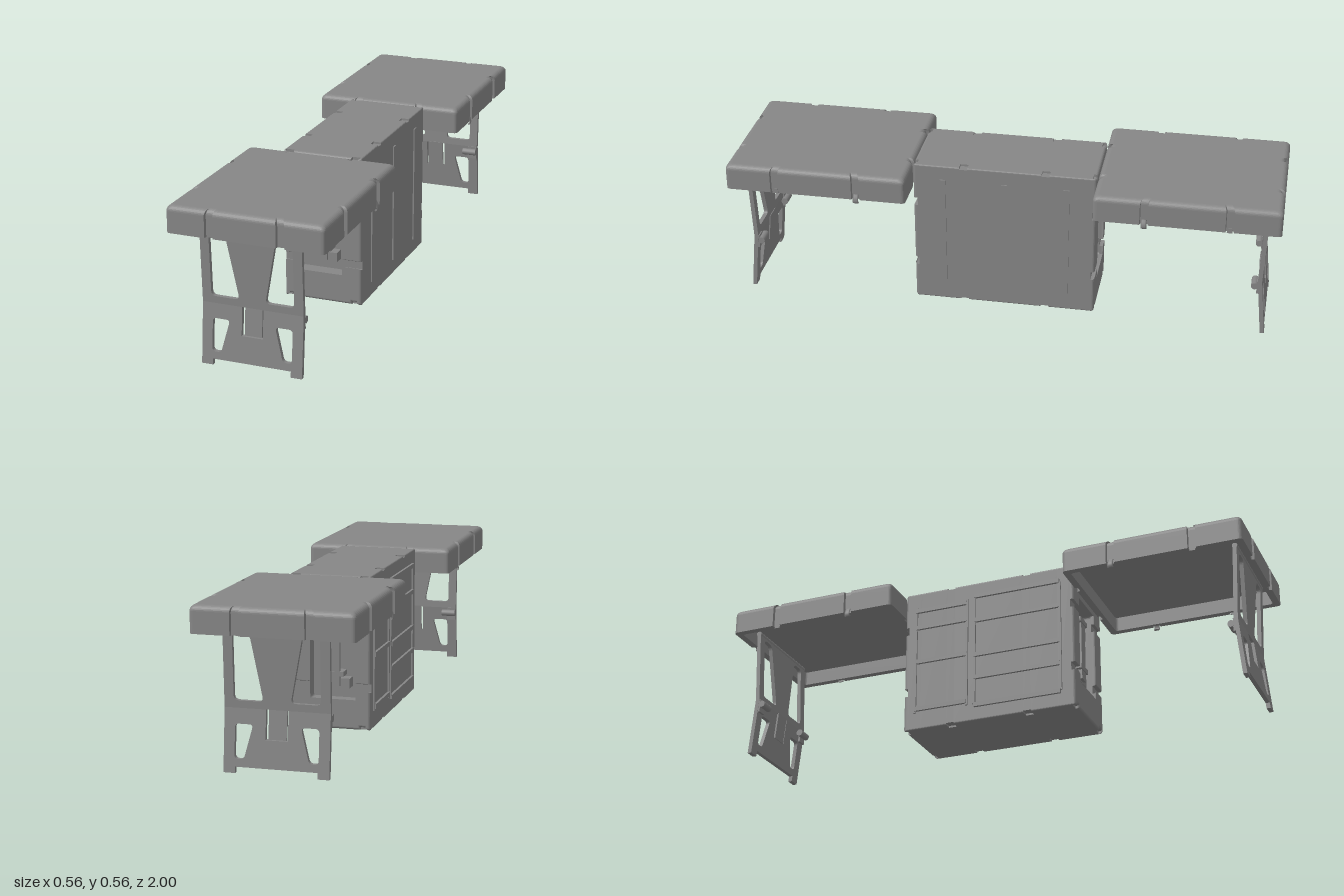
import * as THREE from 'three';

const material = new THREE.MeshStandardMaterial({ color: 0x868686, side: THREE.DoubleSide });

function add(parent, name, geometry, x = 0, y = 0, z = 0) {
  const mesh = new THREE.Mesh(geometry, material);
  mesh.name = name;
  mesh.position.set(x, y, z);
  parent.add(mesh);
  return mesh;
}

const box = (parent, name, w, h, d, x, y, z) => add(parent, name, new THREE.BoxGeometry(w, h, d), x, y, z);

// Polygon with rounded corners; a point may carry its own radius.
function rounded(points, radius, path = new THREE.Shape()) {
  const n = points.length;
  points.forEach((p, i) => {
    const c = new THREE.Vector2(p[0], p[1]);
    const r = p[2] ?? radius;
    const toward = (q) => new THREE.Vector2(q[0], q[1]).sub(c).setLength(r).add(c);
    const a = toward(points[(i + n - 1) % n]), b = toward(points[(i + 1) % n]);
    if (i === 0) path.moveTo(a.x, a.y); else path.lineTo(a.x, a.y);
    if (r > 0) path.quadraticCurveTo(c.x, c.y, b.x, b.y);
  });
  path.closePath();
  return path;
}

const rect = (x0, y0, x1, y1) => [[x0, y0], [x1, y0], [x1, y1], [x0, y1]];
const flip = (points, sx, sy) => points.map(([x, y, r]) => [x * sx, y * sy, r]);
const extrude = (shape, depth) =>
  new THREE.ExtrudeGeometry(shape, { depth, curveSegments: 6, bevelEnabled: false });

// Straight extrusion whose last stretch r is rounded over towards the centre.
function roundOver(shape, hx, hy, base, r) {
  const steps = 8;
  const geometry = new THREE.ExtrudeGeometry(shape, { depth: steps, steps, curveSegments: 6, bevelEnabled: false });
  const p = geometry.attributes.position;
  for (let i = 0; i < p.count; i++) {
    const level = Math.round(p.getZ(i));
    const angle = Math.max(0, level - 1) / (steps - 1) * Math.PI / 2;
    const inset = r * (1 - Math.cos(angle));
    p.setXYZ(i, p.getX(i) * (1 - inset / hx), p.getY(i) * (1 - inset / hy),
      level === 0 ? 0 : base + r * Math.sin(angle));
  }
  geometry.computeVertexNormals();
  return geometry;
}

// Rectangle with strap notches at +-nx on the x edges and +-ny on the y edges.
function notchedRect(hx, hy, nx, ny, depth, r) {
  const points = [];
  for (let k = 0; k < 4; k++) {
    const [a, b, n] = k % 2 ? [hy, hx, ny] : [hx, hy, nx];
    const side = [[-a, -b, r]];
    for (const c of [-n, n]) {
      side.push([c - 0.015, -b], [c - 0.013, -b + depth], [c + 0.013, -b + depth], [c + 0.015, -b]);
    }
    for (const [t, s, q] of side) {
      points.push(k === 0 ? [t, s, q] : k === 1 ? [-s, t, q] : k === 2 ? [-t, -s, q] : [s, -t, q]);
    }
  }
  return rounded(points, 0);
}

function makeCase() {
  const group = new THREE.Group();
  group.name = 'case';
  const hx = 0.147, hy = 0.2775, cy = 0.2785;
  const rx0 = -0.1, rx1 = 0.08, ry = 0.175;
  const slice = (name, shape, z0, z1) => add(group, name, extrude(shape, z1 - z0), 0, cy, z0);

  // Body, sliced where the strap grooves cross the long edges
  const plain = () => rounded(rect(-hx, -hy, hx, hy), 0.006);
  const cx = hx - 0.03, ty = hy - 0.007;
  const cut = rounded([
    [-hx, -ty], [-cx, -ty], [-cx, -hy], [cx, -hy], [cx, -ty], [hx, -ty],
    [hx, ty], [cx, ty], [cx, hy], [-cx, hy], [-cx, ty], [-hx, ty]], 0);
  for (const [z0, z1] of [[-0.27, -0.165], [-0.135, 0.135], [0.165, 0.27]]) slice('body', plain(), z0, z1);
  for (const z of [-0.165, 0.135]) slice('bodyGroove', cut, z, z + 0.03);

  // Recessed ends: a collar, then rim pieces with strap grooves between them
  const collar = plain();
  collar.holes.push(rounded(rect(rx0, -ry, rx1, ry), 0.01, new THREE.Path()));
  slice('endCollar', collar, 0.27, 0.32);
  slice('endCollar', collar, -0.32, -0.27);
  const cap = [
    [-hx, 0.141], [rx0, 0.141], [rx0, ry], [rx1, ry], [rx1, 0.141], [hx, 0.141], [hx, hy, 0.005],
    [0.14, hy], [0.14, hy - 0.01], [0.11, hy - 0.01], [0.11, hy],
    [-0.11, hy], [-0.11, hy - 0.01], [-0.14, hy - 0.01], [-0.14, hy], [-hx, hy, 0.005]];
  const rims = [cap, flip(cap, 1, -1), rect(-hx, -0.11, rx0, 0.11), rect(rx1, -0.11, hx, 0.11)];
  for (const s of [-1, 1]) {
    for (const rim of rims) {
      const geometry = roundOver(rounded(flip(rim, s, 1), 0), hx, hy, 0.005, 0.01);
      if (s < 0) geometry.rotateY(Math.PI);
      add(group, 'endRim', geometry, 0, cy, s * 0.32);
    }
    // Carrying handle and its brackets in the recess
    box(group, 'handleBar', 0.04, 0.25, 0.016, -0.01, cy, s * 0.312);
    for (const y of [cy - 0.115, cy + 0.075]) {
      box(group, 'handleBracket', 0.11, 0.035, 0.04, -0.01, y, s * 0.29);
      box(group, 'handleClip', 0.07, 0.018, 0.05, -0.01, y + 0.035, s * 0.298);
    }
  }

  // Upright ribs on the left side
  for (const z of [-0.227, 0, 0.226]) box(group, 'sideRib', 0.012, 0.445, 0.022, 0.146, 0.28, z);

  // Rails on the right side
  for (const [z0, z1, heights] of [[-0.29, -0.085, [0.08, 0.27, 0.41, 0.48]], [-0.055, 0.28, [0.06, 0.17, 0.26, 0.4, 0.5]]]) {
    for (const y of heights) box(group, 'sideRail', 0.014, 0.016, z1 - z0, -0.149, y, (z0 + z1) / 2);
    for (const z of [z0, z1]) box(group, 'railPost', 0.01, 0.43, 0.01, -0.148, 0.28, z);
  }
  return group;
}

function makeLeg() {
  const leg = new THREE.Group();
  leg.name = 'leg';
  const bend = 0.215, t = 0.015;
  // Leans a flat panel so its centre runs from z0 at y0 to z1 at y1.
  const panel = (name, shape, y0, z0, y1, z1) => {
    const geometry = extrude(shape, t);
    const p = geometry.attributes.position;
    for (let i = 0; i < p.count; i++) {
      p.setZ(i, p.getZ(i) - t / 2 + z0 + (z1 - z0) * (p.getY(i) - y0) / (y1 - y0));
    }
    geometry.computeVertexNormals();
    add(leg, name, geometry);
  };

  // Upper panel with two tall openings
  const upper = rounded(rect(-0.18, bend, 0.18, 0.5), 0);
  // Lower panel with feet, side openings and a gap for the centre tongue
  const lower = rounded([
    [-0.18, 0], [-0.14, 0], [-0.14, 0.021], [0.14, 0.021], [0.14, 0], [0.18, 0],
    [0.18, bend], [0.038, bend], [0.038, 0.115], [-0.038, 0.115], [-0.038, bend], [-0.18, bend]], 0);
  for (const s of [-1, 1]) {
    upper.holes.push(rounded(flip([[0.148, 0.48], [0.148, 0.24], [0.046, 0.24], [0.092, 0.48]], s, 1), 0.018, new THREE.Path()));
    lower.holes.push(rounded(flip([[0.143, 0.163], [0.143, 0.047], [0.111, 0.047], [0.081, 0.163]], s, 1), 0.014, new THREE.Path()));
  }
  panel('legUpper', upper, bend, 0.935, 0.5, 0.947);
  panel('legLower', lower, 0, 0.956, bend, 0.935);
  box(leg, 'legTongue', 0.062, 0.104, 0.008, 0, 0.166, 0.934).rotation.x = -0.097;

  // Folding clips on the inner face and the hinge under the table
  for (const s of [-1, 1]) {
    const clip = add(leg, 'legClip', new THREE.CylinderGeometry(0.013, 0.013, 0.055, 14), s * 0.152, 0.195, 0.917);
    clip.rotation.z = Math.PI / 2;
    box(leg, 'clipPlate', 0.036, 0.05, 0.012, s * 0.161, 0.19, 0.93);
  }
  const hinge = add(leg, 'legHinge', new THREE.CylinderGeometry(0.01, 0.01, 0.36, 14), 0, 0.495, 0.947);
  hinge.rotation.z = Math.PI / 2;
  return leg;
}

function makeTable() {
  const table = new THREE.Group();
  table.name = 'table';
  const hx = 0.278, hz = 0.331, cz = 0.668, wall = 0.025;
  const outline = () => notchedRect(hx, hz, 0.125, 0.15, 0.011, 0.016);

  // Hollow lid: rounded top plate over a skirt
  const top = roundOver(outline(), hx, hz, 0.02, 0.02).rotateX(-Math.PI / 2);
  add(table, 'tableTop', top, 0, 0.518, cz);
  const ring = outline();
  ring.holes.push(rounded(rect(wall - hx, wall - hz, hx - wall, hz - wall), 0.012, new THREE.Path()));
  add(table, 'tableSkirt', extrude(ring, 0.055).rotateX(-Math.PI / 2), 0, 0.463, cz);

  // Small hooks and latch tabs in the side grooves
  for (const s of [-1, 1]) {
    const curve = new THREE.CatmullRomCurve3(
      [[0.268, 0.48], [0.276, 0.463], [0.2765, 0.453], [0.273, 0.447], [0.269, 0.45]]
        .map(([x, y]) => new THREE.Vector3(s * x, y, 0)));
    const hook = new THREE.TubeGeometry(curve, 16, 0.0015, 6).scale(1, 1, 7);
    add(table, 'hook', hook, 0, 0, cz - 0.15);
    box(table, 'latchTab', 0.004, 0.02, 0.02, s * 0.267, 0.466, cz + 0.15);
  }
  return table;
}

export function createModel() {
  const model = new THREE.Group();
  model.name = 'foldingFieldDesk';
  model.add(makeCase());
  // The same table and leg at both ends
  for (const angle of [0, Math.PI]) {
    const end = new THREE.Group();
    end.name = angle ? 'backTable' : 'frontTable';
    end.add(makeTable(), makeLeg());
    end.rotation.y = angle;
    model.add(end);
  }
  return model;
}
